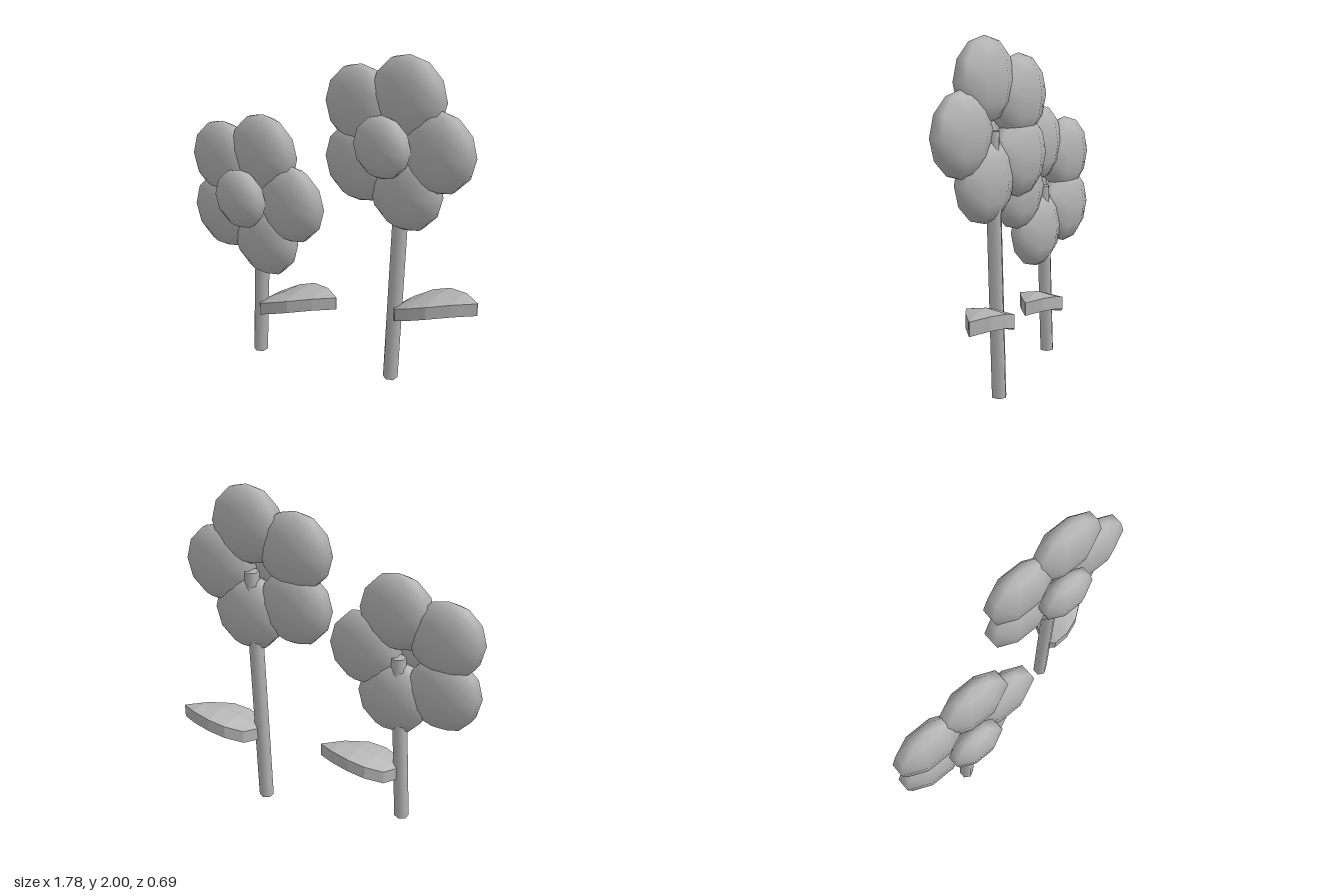
import * as THREE from 'three';

const grey = new THREE.MeshStandardMaterial({ color: 0xb2b2b2 });
grey.name = 'plain grey';

function addMesh(parent, name, geometry) {
  const mesh = new THREE.Mesh(geometry, grey);
  mesh.name = name;
  parent.add(mesh);
  return mesh;
}

// Flattened low-poly ball, with its flats facing the axes
function puff(radius, depth) {
  return new THREE.SphereGeometry(1, 8, 6).rotateY(Math.PI / 8).scale(radius, radius, depth);
}

// Arched leaf with thickness, built from cross-sections: x, back z, front z
function leafGeometry() {
  const stations = [
    [0.02, -0.02, 0.02], [0.06, -0.14, 0.06], [0.15, -0.21, 0.067],
    [0.25, -0.234, 0.035], [0.37, -0.214, -0.055], [0.475, -0.162, -0.156],
  ];
  const thickness = 0.078;
  const rings = stations.map(([x, back, front]) => {
    const u = (x - 0.02) / 0.455;
    const y = 0.485 + 0.225 * u - 0.125 * u * u;
    const arch = 0.028 * Math.sin(Math.PI * u);
    const mid = (back + front) / 2;
    return [
      [x, y, front], [x, y + arch, mid], [x, y + arch * 0.6, back],
      [x, y + arch * 0.6 - thickness, back], [x, y + arch - thickness, mid], [x, y - thickness, front],
    ];
  });
  const points = [];
  const quad = (a, b, c, d) => points.push(...a, ...b, ...c, ...a, ...c, ...d);
  for (let i = 0; i < rings.length - 1; i++) {
    for (let j = 0; j < 6; j++) {
      const k = (j + 1) % 6;
      quad(rings[i][j], rings[i + 1][j], rings[i + 1][k], rings[i][k]);
    }
  }
  // End caps
  const first = rings[0], last = rings[rings.length - 1];
  quad(first[0], first[1], first[4], first[5]);
  quad(first[1], first[2], first[3], first[4]);
  quad(last[5], last[4], last[1], last[0]);
  quad(last[4], last[3], last[2], last[1]);
  const geometry = new THREE.BufferGeometry();
  geometry.setAttribute('position', new THREE.Float32BufferAttribute(points, 3));
  geometry.computeVertexNormals();
  return geometry;
}

function makeFlower(name, x, z, height, leafDrop) {
  const flower = new THREE.Group();
  flower.name = name;
  flower.position.set(x, 0, z);

  // Leaning six-sided stem
  const stem = new THREE.CylinderGeometry(0.044, 0.044, height, 6).translate(0, height / 2, 0);
  const lean = new THREE.Matrix4().makeShear(0, 0, 0, 0, 0, 0);
  lean.elements[4] = 0.055 / height;
  stem.applyMatrix4(lean);
  addMesh(flower, 'stem', stem);

  // Ring of five petals around a raised centre
  for (let i = 0; i < 5; i++) {
    const angle = (i * Math.PI * 2) / 5;
    addMesh(flower, 'petal', puff(0.235, 0.104))
      .position.set(0.28 * Math.cos(angle), height + 0.28 * Math.sin(angle), 0.024);
  }
  addMesh(flower, 'flowerCentre', puff(0.18, 0.088)).position.set(0, height, 0.142);

  addMesh(flower, 'leaf', leafGeometry()).position.y = -leafDrop;
  return flower;
}

export function createModel() {
  const model = new THREE.Group();
  model.name = 'flowers';
  model.add(makeFlower('tallFlower', 0.39, -0.114, 1.5, 0));
  model.add(makeFlower('shortFlower', -0.445, 0.114, 1.065, 0.14));
  return model;
}
